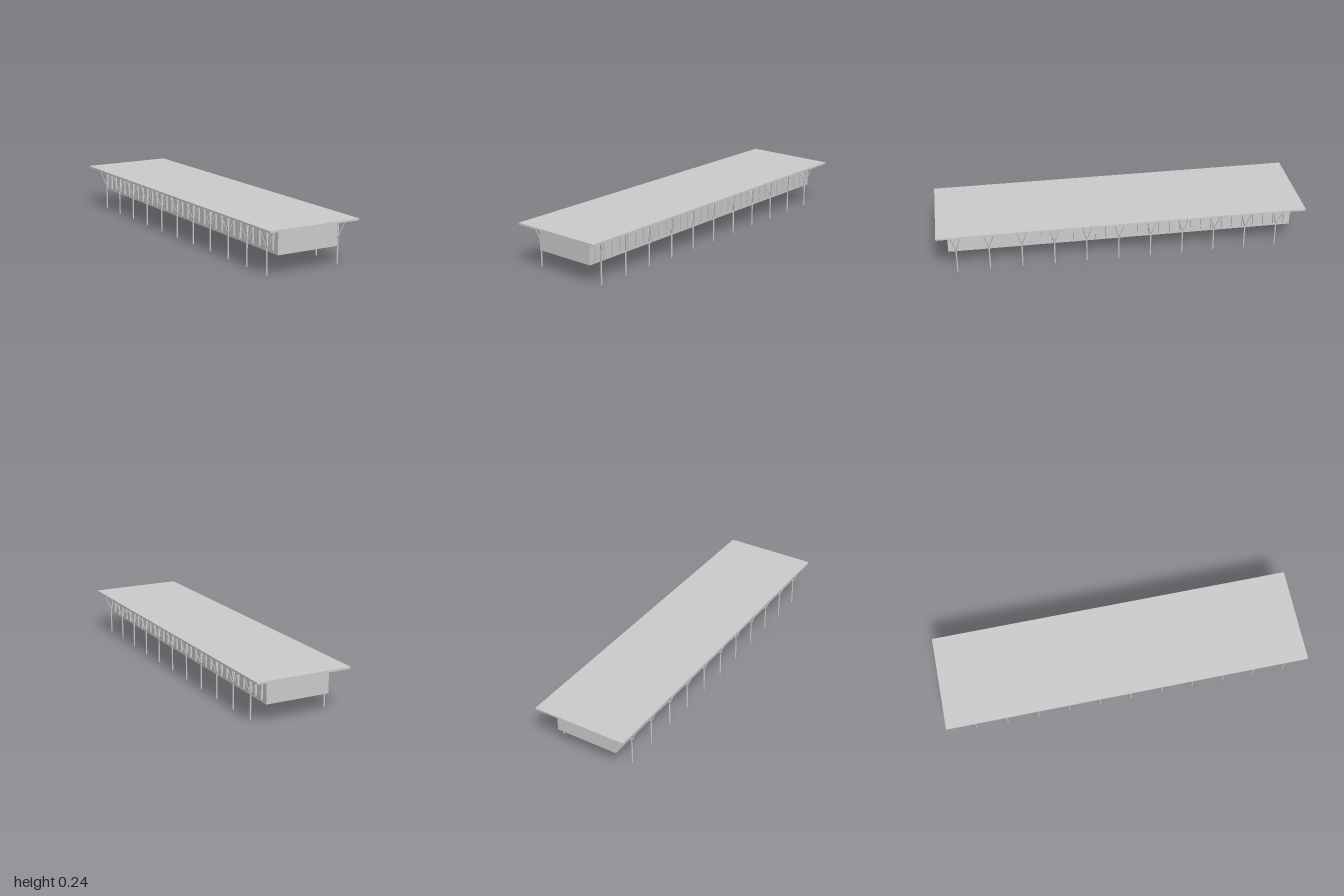
import * as THREE from 'three';

const grey = new THREE.MeshStandardMaterial({ color: 0xcccccc });
grey.name = 'pale grey';

function box(name, w, h, d, x, y, z) {
  const m = new THREE.Mesh(new THREE.BoxGeometry(w, h, d), grey);
  m.name = name;
  m.position.set(x, y, z);
  return m;
}

// Round rod between two points
function rod(name, a, b, radius) {
  const dir = b.clone().sub(a);
  const m = new THREE.Mesh(new THREE.CylinderGeometry(radius, radius, dir.length(), 8), grey);
  m.name = name;
  m.position.copy(a).add(b).multiplyScalar(0.5);
  m.quaternion.setFromUnitVectors(new THREE.Vector3(0, 1, 0), dir.normalize());
  return m;
}

// Post that forks into four branches under the roof
function treeColumn() {
  const g = new THREE.Group();
  g.name = 'treeColumn';
  const fork = new THREE.Vector3(0, 0.13, 0);
  g.add(rod('trunk', new THREE.Vector3(0, 0, 0), fork, 0.004));
  for (const sx of [-1, 1]) {
    for (const sz of [-1, 1]) {
      g.add(rod('branch', fork, new THREE.Vector3(sx * 0.029, 0.23, sz * 0.029), 0.0024));
    }
  }
  return g;
}

export function createModel() {
  const model = new THREE.Group();
  model.name = 'pavilion';

  // The whole building stands turned on its plot
  const building = new THREE.Group();
  building.name = 'building';
  building.rotation.y = THREE.MathUtils.degToRad(15.8);
  model.add(building);

  building.add(box('roof', 0.51, 0.01, 1.934, 0, 0.233, 0));
  building.add(box('hall', 0.343, 0.128, 1.821, 0, 0.165, 0));

  for (const side of [-1, 1]) {
    // Row of eleven forked columns
    for (let i = 0; i < 11; i++) {
      const column = treeColumn();
      column.position.set(side * 0.2065, 0, 0.87 - i * 0.1695);
      building.add(column);
    }
    // Slim upright fins along the long wall
    for (let i = 0; i < 32; i++) {
      building.add(box('wallFin', 0.01, 0.113, 0.005, side * 0.1755, 0.1715, (i - 15.5) * 0.0565));
    }
  }
  return model;
}
